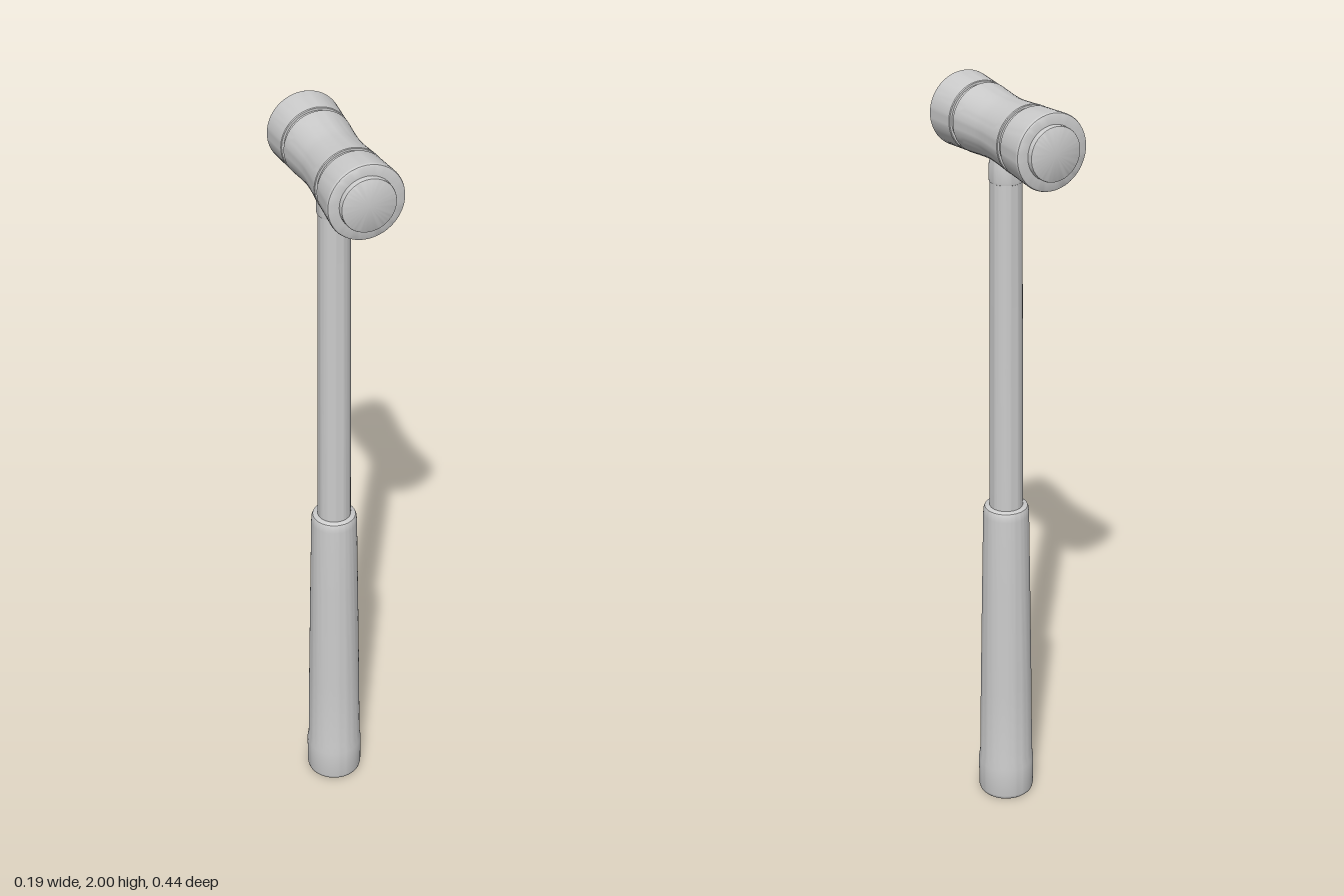
import * as THREE from 'three';
import { toCreasedNormals } from 'three/addons/utils/BufferGeometryUtils.js';

const material = new THREE.MeshStandardMaterial({ color: 0xcccccc });
const HEAD_Y = 1.905;

// Turned part from [radius, height] pairs, listed from bottom to top
function turned(name, profile, segments = 64) {
  const points = profile.map(([r, y]) => new THREE.Vector2(r, y));
  const geometry = toCreasedNormals(new THREE.LatheGeometry(points, segments), 0.6);
  const mesh = new THREE.Mesh(geometry, material);
  mesh.name = name;
  return mesh;
}

export function createModel() {
  const model = new THREE.Group();
  model.name = 'mallet';

  // Tapered grip with a rounded butt and a slightly thicker end
  model.add(turned('grip', [
    [0, 0], [0.064, 0], [0.069, 0.002], [0.073, 0.006], [0.075, 0.014],
    [0.0755, 0.1], [0.072, 0.125], [0.069, 0.35], [0.064, 0.65],
    [0.06, 0.87], [0.059, 0.885], [0.056, 0.893], [0.051, 0.896], [0, 0.896],
  ]));

  // Slim shaft and the collar that enters the head
  model.add(turned('shaft', [[0.0435, 0.88], [0.042, 1.3], [0.0395, 1.79]]));
  model.add(turned('collar', [
    [0.038, 1.776], [0.0415, 1.778], [0.0425, 1.785], [0.042, 1.82],
    [0.039, 1.836], [0.037, 1.85], [0.037, 1.88],
  ]));

  // Head, turned around its own axis and laid along z
  const head = new THREE.Group();
  head.name = 'head';
  head.position.y = HEAD_Y;
  head.rotation.x = Math.PI / 2;
  model.add(head);

  // Waisted middle
  const waist = [[0.08, -0.104], [0.086, -0.104], [0.0875, -0.102]];
  for (let i = -8; i <= 8; i++) {
    const t = i / 8;
    waist.push([0.0795 + 0.0075 * Math.abs(t) ** 1.5, t * 0.095]);
  }
  waist.push([0.0875, 0.102], [0.086, 0.104], [0.08, 0.104]);
  head.add(turned('headBody', waist));
  head.add(turned('grooveCore', [[0.081, -0.125], [0.081, -0.1], [0.076, -0.09],
    [0.076, 0.09], [0.081, 0.1], [0.081, 0.125]]));

  // Flared cap and striking face at each end
  for (const [side, angle] of [['front', 0], ['back', Math.PI]]) {
    const end = new THREE.Group();
    end.name = side + 'End';
    end.rotation.x = angle;
    end.add(turned('cap', [
      [0.075, 0.118], [0.0865, 0.118], [0.0882, 0.12], [0.0945, 0.197],
      [0.0945, 0.2], [0.093, 0.204], [0.089, 0.2065], [0.06, 0.2065],
    ]));
    end.add(turned('strikingFace', [
      [0.067, 0.19], [0.067, 0.218], [0.066, 0.2205], [0.063, 0.222], [0, 0.222],
    ]));
    head.add(end);
  }
  return model;
}
